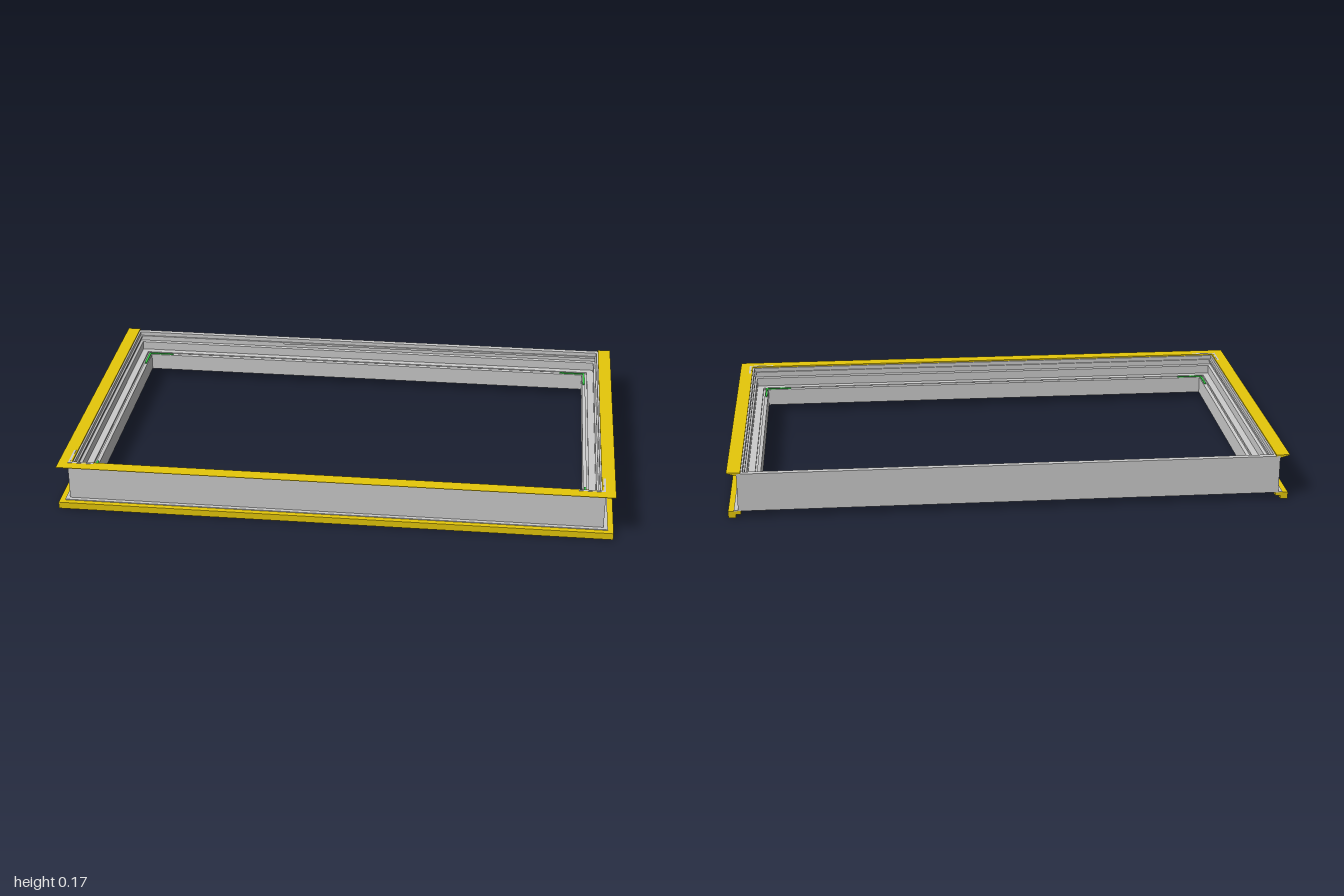
import * as THREE from 'three';

const OUT_X = 0.965, FRONT = 0.565, BACK = 0.6; // outer wall planes

const grey = new THREE.MeshStandardMaterial({ color: 0xcccccc, flatShading: true });
const yellow = new THREE.MeshStandardMaterial({ color: 0xe6c80a, flatShading: true, side: THREE.DoubleSide });
const green = new THREE.MeshStandardMaterial({ color: 0x33cc44 });

// Corner positions at inset d from the outer wall; closed loops mitre at the back,
// open ones stop square at the back plane.
function corners(d, closed) {
  const x = OUT_X - d, zf = FRONT - d, zb = closed ? -BACK + d : -BACK;
  return [[-x, zb], [-x, zf], [x, zf], [x, zb]];
}

// Sweeps a closed profile of [inset, height] points round the rectangle.
function sweep(name, profile, material, closed) {
  const pos = [];
  const point = (i, j) => {
    const [d, y] = profile[j % profile.length];
    const [x, z] = corners(d, closed)[i % 4];
    return [x, y, z];
  };
  for (let i = 0; i < (closed ? 4 : 3); i++) {
    for (let j = 0; j < profile.length; j++) {
      const a = point(i, j), b = point(i + 1, j), c = point(i + 1, j + 1), d = point(i, j + 1);
      pos.push(...a, ...b, ...c, ...a, ...c, ...d);
    }
  }
  if (!closed) {
    // end caps
    const contour = profile.map(([d, y]) => new THREE.Vector2(d, y));
    for (const tri of THREE.ShapeUtils.triangulateShape(contour, [])) {
      for (const end of [0, 3]) {
        const order = end ? tri : [...tri].reverse();
        order.forEach((j) => pos.push(...point(end, j)));
      }
    }
  }
  const geometry = new THREE.BufferGeometry();
  geometry.setAttribute('position', new THREE.Float32BufferAttribute(pos, 3));
  geometry.computeVertexNormals();
  const mesh = new THREE.Mesh(geometry, material);
  mesh.name = name;
  return mesh;
}

// L-shaped strip lying in a corner; sx and sz give the corner's signs.
function cornerAngle(name, x, z, y, lenX, lenZ, width, height, sx, sz, material) {
  const group = new THREE.Group();
  group.name = name;
  const add = (w, d, px, pz) => {
    const mesh = new THREE.Mesh(new THREE.BoxGeometry(w, height, d), material);
    mesh.position.set(px, y, pz);
    mesh.name = name + 'Leg';
    group.add(mesh);
  };
  add(width, lenZ, sx * (x - width / 2), z - sz * lenZ / 2);
  add(lenX, width, sx * (x - lenX / 2), z - sz * width / 2);
  return group;
}

export function createModel() {
  const model = new THREE.Group();
  model.name = 'windowFrame';

  // Frame section: outer wall, stepped inner rebate, glazing lip, grooved underside
  model.add(sweep('mainFrame', [
    [0, 0.025], [0, 0.165], [0.02, 0.165], [0.02, 0.15], [0.026, 0.15], [0.026, 0.142],
    [0.02, 0.142], [0.02, 0.128], [0.03, 0.125], [0.03, 0.092], [0.055, 0.092],
    [0.055, 0.085], [0.062, 0.085], [0.062, 0.092], [0.075, 0.09],
    [0.075, 0.025], [0.066, 0.025], [0.062, 0.032], [0.05, 0.032], [0.05, 0.05],
    [0.02, 0.05], [0.02, 0.025],
  ], grey, true));

  // Tapered flange along the top of the two sides and the front
  model.add(sweep('topFlange', [
    [0, 0.158], [-0.035, 0.168], [-0.035, 0.17], [0.014, 0.17], [0.014, 0.158],
  ], yellow, false));

  // Square bead along the bottom of the two sides and the front
  model.add(sweep('bottomBead', [
    [-0.035, 0], [-0.035, 0.025], [0.01, 0.025], [0.01, 0.012], [-0.008, 0.012], [-0.008, 0],
  ], yellow, false));

  // Grey bed strip between bead and wall
  model.add(sweep('beadStrip', [
    [-0.015, 0.025], [-0.015, 0.028], [0.002, 0.028], [0.002, 0.025],
  ], grey, false));

  for (const sx of [-1, 1]) {
    // Corner plates on the front flange joints
    model.add(cornerAngle('cornerPlate', 0.965, 0.562, 0.17, 0.095, 0.095, 0.008, 0.002, sx, 1, grey));
    // Seal pieces on the glazing lip
    model.add(cornerAngle('frontSeal', 0.9, 0.5, 0.091, 0.1, 0.1, 0.007, 0.006, sx, 1, green));
    model.add(cornerAngle('backSeal', 0.9, -0.535, 0.091, 0.1, 0.1, 0.007, 0.006, sx, -1, green));
  }
  return model;
}
